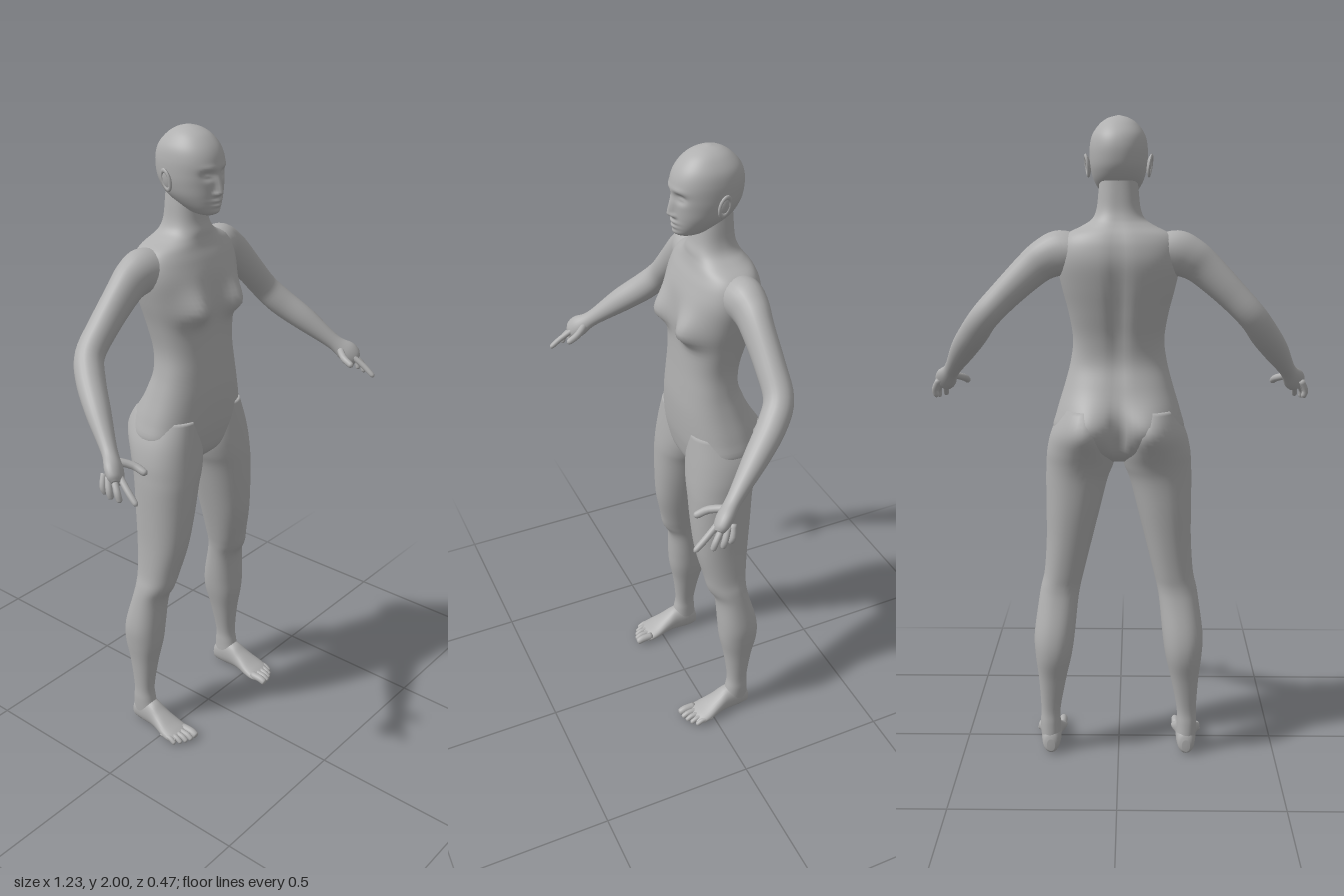
import * as THREE from 'three';

const V = (x, y, z) => new THREE.Vector3(x, y, z);

// Catmull-Rom refinement of rows of numbers
function refine(rows, steps) {
  const out = [];
  const at = i => rows[Math.max(0, Math.min(rows.length - 1, i))];
  for (let i = 0; i < rows.length - 1; i++) {
    for (let s = 0; s < steps; s++) {
      const t = s / steps, a = at(i - 1), b = at(i), c = at(i + 1), d = at(i + 2);
      out.push(b.map((p, k) => 0.5 * (2 * p + (c[k] - a[k]) * t
        + (2 * a[k] - 5 * p + 4 * c[k] - d[k]) * t * t
        + (3 * p - a[k] - 3 * c[k] + d[k]) * t * t * t)));
    }
  }
  out.push(rows[rows.length - 1]);
  return out;
}

// Closed skin over a list of rings, facing outward
function skin(rings) {
  const n = rings[0].length, pos = [], index = [];
  const centre = r => r.reduce((s, p) => s.add(p), V(0, 0, 0)).divideScalar(n);
  rings.forEach(r => r.forEach(p => pos.push(p.x, p.y, p.z)));
  const first = rings.length * n, last = first + 1;
  [rings[0], rings[rings.length - 1]].forEach(r => pos.push(...centre(r).toArray()));
  for (let i = 0; i < n; i++) {
    const j = (i + 1) % n, top = (rings.length - 1) * n;
    for (let k = 0; k < rings.length - 1; k++) {
      const a = k * n + i, b = k * n + j;
      index.push(a, b, b + n, a, b + n, a + n);
    }
    index.push(first, j, i, last, top + i, top + j);
  }
  const p = i => V(pos[3 * i], pos[3 * i + 1], pos[3 * i + 2]);
  let volume = 0;
  for (let i = 0; i < index.length; i += 3) volume += p(index[i]).dot(p(index[i + 1]).cross(p(index[i + 2])));
  if (volume < 0) index.reverse();
  const g = new THREE.BufferGeometry();
  g.setAttribute('position', new THREE.Float32BufferAttribute(pos, 3));
  g.setIndex(index);
  g.computeVertexNormals();
  return g;
}

// Rounded ring points on a unit superellipse
function unitRing(n, power) {
  return Array.from({ length: n }, (_, i) => {
    const a = i / n * Math.PI * 2, c = Math.cos(a), s = Math.sin(a);
    return [Math.sign(c) * Math.abs(c) ** (2 / power), Math.sign(s) * Math.abs(s) ** (2 / power)];
  });
}

// Rows: [level, xMin, xMax, otherMin, otherMax], stacked along y or z
function loft(rows, axis, n = 40, power = 2.2, steps = 5) {
  const unit = unitRing(n, power);
  return skin(refine(rows, steps).map(([l, x0, x1, b0, b1]) => unit.map(([c, s]) => {
    const x = (x0 + x1) / 2 + c * (x1 - x0) / 2, b = (b0 + b1) / 2 + s * (b1 - b0) / 2;
    return axis === 'y' ? V(x, l, b) : V(x, b, l);
  })));
}

// Rows: [x, y, z, radiusOut, radiusAcross] along a bent limb
function limb(rows, n = 24, steps = 5) {
  const r = refine(rows, steps), unit = unitRing(n, 2), mid = r.map(q => V(q[0], q[1], q[2]));
  return skin(r.map((q, i) => {
    const t = mid[Math.min(i + 1, r.length - 1)].clone().sub(mid[Math.max(i - 1, 0)]).normalize();
    const u = V(0.7, 0.7, 0);
    u.addScaledVector(t, -u.dot(t)).normalize();
    const w = t.clone().cross(u);
    return unit.map(([c, s]) => mid[i].clone().addScaledVector(u, c * q[3]).addScaledVector(w, s * q[4]));
  }));
}

// Finger or toe with a rounded tip
function digit(points, r) {
  const a = points[points.length - 2], b = points[points.length - 1];
  const tip = f => b.map((v, k) => a[k] + (v - a[k]) * f);
  return limb([...points.slice(0, -1).map(p => [...p, r, r]), [...tip(0.72), r * 0.92, r * 0.92],
    [...tip(0.92), r * 0.65, r * 0.65], [...b, r * 0.15, r * 0.15]], 12, 3);
}

// Soft swelling or hollow along z: below/above spreads may differ
function bump(g, [cx, cy, cz], [sx, up, down, sz], dz) {
  const p = g.attributes.position;
  for (let i = 0; i < p.count; i++) {
    const x = (p.getX(i) - cx) / sx, z = (p.getZ(i) - cz) / sz;
    let y = p.getY(i) - cy;
    y /= y > 0 ? up : down;
    p.setZ(i, p.getZ(i) + dz * Math.exp(-x * x - y * y - z * z));
  }
  g.computeVertexNormals();
}

function mirrored(g) {
  const m = g.clone().scale(-1, 1, 1);
  m.setIndex(Array.from(g.index.array).reverse());
  m.computeVertexNormals();
  return m;
}

export function createModel() {
  const model = new THREE.Group();
  model.name = 'standingFigure';
  const skinGrey = new THREE.MeshStandardMaterial({ color: 0xb0b0b0 });
  skinGrey.name = 'skinGrey';
  const add = (name, g) => {
    const m = new THREE.Mesh(g, skinGrey);
    m.name = name;
    model.add(m);
  };
  const addPair = (name, g) => {
    add('left' + name, g);
    add('right' + name, mirrored(g));
  };
  const symmetric = rows => rows.map(([l, w, b0, b1]) => [l, -w, w, b0, b1]);

  // Torso and neck
  const torso = loft(symmetric([
    [0.965, 0.05, -0.12, -0.02], [1.0, 0.15, -0.17, 0.015], [1.06, 0.2, -0.195, 0.03],
    [1.12, 0.19, -0.195, 0.037], [1.2, 0.166, -0.172, 0.04], [1.27, 0.148, -0.15, 0.037],
    [1.34, 0.14, -0.155, 0.033], [1.42, 0.152, -0.175, 0.03], [1.5, 0.172, -0.195, 0.03],
    [1.57, 0.185, -0.207, 0.025], [1.62, 0.18, -0.202, 0.01], [1.655, 0.158, -0.188, -0.005],
    [1.68, 0.11, -0.17, -0.012], [1.7, 0.08, -0.158, -0.015], [1.73, 0.066, -0.148, -0.024],
    [1.78, 0.06, -0.143, -0.03], [1.83, 0.055, -0.14, -0.035]]), 'y', 72, 2.35);
  for (const s of [-1, 1]) {
    bump(torso, [s * 0.09, 1.475, 0.04], [0.05, 0.065, 0.035, 0.09], 0.045);
    bump(torso, [s * 0.095, 1.07, -0.2], [0.07, 0.08, 0.08, 0.1], -0.04);
  }
  bump(torso, [0, 1.42, -0.19], [0.025, 0.2, 0.2, 0.08], 0.014);
  bump(torso, [0, 1.05, -0.21], [0.02, 0.07, 0.09, 0.08], 0.03);
  add('torso', torso);

  // Legs
  const leg = loft([
    [1.13, 0.03, 0.175, -0.18, 0.025], [1.06, 0.008, 0.207, -0.195, 0.032],
    [1.0, 0.004, 0.222, -0.185, 0.037], [0.95, 0.016, 0.226, -0.172, 0.04],
    [0.9, 0.035, 0.228, -0.163, 0.04], [0.8, 0.06, 0.228, -0.155, 0.037],
    [0.7, 0.085, 0.229, -0.145, 0.028], [0.6, 0.11, 0.236, -0.135, 0.005],
    [0.55, 0.122, 0.247, -0.132, -0.012], [0.5, 0.13, 0.255, -0.14, -0.03],
    [0.4, 0.14, 0.268, -0.165, -0.035], [0.33, 0.15, 0.265, -0.168, -0.04],
    [0.25, 0.168, 0.256, -0.15, -0.055], [0.15, 0.187, 0.25, -0.135, -0.066],
    [0.1, 0.188, 0.252, -0.137, -0.06], [0.05, 0.187, 0.25, -0.139, -0.05],
    [0.02, 0.192, 0.245, -0.133, -0.06]], 'y', 40);
  bump(leg, [0.095, 1.07, -0.2], [0.07, 0.08, 0.08, 0.1], -0.04);
  bump(leg, [0.18, 0.55, -0.012], [0.035, 0.04, 0.04, 0.05], 0.008);
  addPair('Leg', leg);

  // Feet and toes
  addPair('Foot', loft([
    [-0.143, 0.205, 0.23, 0.012, 0.05], [-0.133, 0.192, 0.243, 0.004, 0.075],
    [-0.1, 0.186, 0.25, 0.001, 0.1], [-0.055, 0.187, 0.253, 0.003, 0.095],
    [-0.02, 0.184, 0.26, 0.005, 0.072], [0.02, 0.177, 0.27, 0.002, 0.048],
    [0.05, 0.175, 0.27, 0.001, 0.034], [0.07, 0.18, 0.26, 0.004, 0.024]], 'z', 28));
  [[0.19, 0.108, 0.013], [0.211, 0.105, 0.0095], [0.229, 0.098, 0.009],
    [0.246, 0.088, 0.0085], [0.262, 0.074, 0.0085]].forEach(([x, z, r], i) => {
    addPair('Toe' + (i + 1), digit([[x, 0.021, z - 0.06], [x, 0.021, z - 0.025], [x, r, z]], r));
  });

  // Arms running into the palms
  addPair('Arm', limb([
    [0.1, 1.6, -0.1, 0.05, 0.07], [0.17, 1.6, -0.105, 0.068, 0.062],
    [0.215, 1.585, -0.107, 0.062, 0.053], [0.26, 1.553, -0.105, 0.055, 0.046],
    [0.34, 1.478, -0.105, 0.047, 0.043], [0.405, 1.41, -0.1, 0.044, 0.043],
    [0.445, 1.355, -0.06, 0.045, 0.042], [0.49, 1.295, 0.01, 0.04, 0.036],
    [0.53, 1.235, 0.08, 0.028, 0.025], [0.547, 1.21, 0.11, 0.027, 0.022],
    [0.565, 1.187, 0.138, 0.036, 0.024], [0.578, 1.168, 0.157, 0.031, 0.02],
    [0.584, 1.16, 0.166, 0.018, 0.012]]));

  // Fingers
  const fingers = {
    Thumb: [[0.545, 1.2, 0.12], [0.512, 1.185, 0.16], [0.502, 1.168, 0.202]],
    IndexFinger: [[0.565, 1.178, 0.155], [0.577, 1.147, 0.198], [0.583, 1.115, 0.238]],
    MiddleFinger: [[0.58, 1.175, 0.15], [0.597, 1.145, 0.178], [0.598, 1.115, 0.19]],
    RingFinger: [[0.59, 1.175, 0.14], [0.604, 1.145, 0.155], [0.603, 1.118, 0.162]],
    LittleFinger: [[0.59, 1.18, 0.125], [0.604, 1.15, 0.132], [0.6, 1.125, 0.138]],
  };
  for (const [name, path] of Object.entries(fingers)) addPair(name, digit(path, name === 'Thumb' ? 0.0115 : 0.0095));

  // Head with brow, eyes, nose, lips and chin
  const head = loft(symmetric([
    [1.752, 0.018, -0.03, 0.015], [1.76, 0.036, -0.06, 0.028], [1.78, 0.055, -0.1, 0.034],
    [1.81, 0.073, -0.14, 0.036], [1.84, 0.082, -0.162, 0.037], [1.87, 0.086, -0.172, 0.039],
    [1.91, 0.086, -0.174, 0.038], [1.945, 0.078, -0.163, 0.024], [1.975, 0.057, -0.136, -0.003],
    [1.992, 0.033, -0.108, -0.034], [2.0, 0.006, -0.078, -0.066]]), 'y', 96, 2.15, 9);
  for (const s of [-1, 1]) {
    bump(head, [s * 0.033, 1.873, 0.03], [0.018, 0.012, 0.014, 0.06], -0.013);
    bump(head, [s * 0.033, 1.871, 0.03], [0.011, 0.006, 0.006, 0.06], 0.006);
    bump(head, [s * 0.03, 1.893, 0.03], [0.026, 0.009, 0.009, 0.06], 0.004);
    bump(head, [s * 0.013, 1.817, 0.035], [0.007, 0.007, 0.006, 0.06], 0.007);
  }
  bump(head, [0, 1.822, 0.04], [0.011, 0.04, 0.01, 0.06], 0.018);
  bump(head, [0, 1.797, 0.04], [0.022, 0.006, 0.005, 0.06], 0.007);
  bump(head, [0, 1.783, 0.04], [0.02, 0.005, 0.006, 0.06], 0.006);
  bump(head, [0, 1.764, 0.03], [0.022, 0.01, 0.01, 0.06], 0.006);
  add('head', head);

  // Ears: a bowl with a raised rim
  const place = g => g.rotateZ(-0.12).rotateX(-0.2).translate(0.09, 1.856, -0.078);
  addPair('EarBowl', place(new THREE.SphereGeometry(1, 16, 12).scale(0.007, 0.028, 0.016)));
  addPair('EarRim', place(new THREE.TorusGeometry(0.017, 0.0045, 8, 24).rotateY(Math.PI / 2 + 0.2).scale(1, 1.65, 1).translate(0.004, 0, 0)));
  return model;
}
